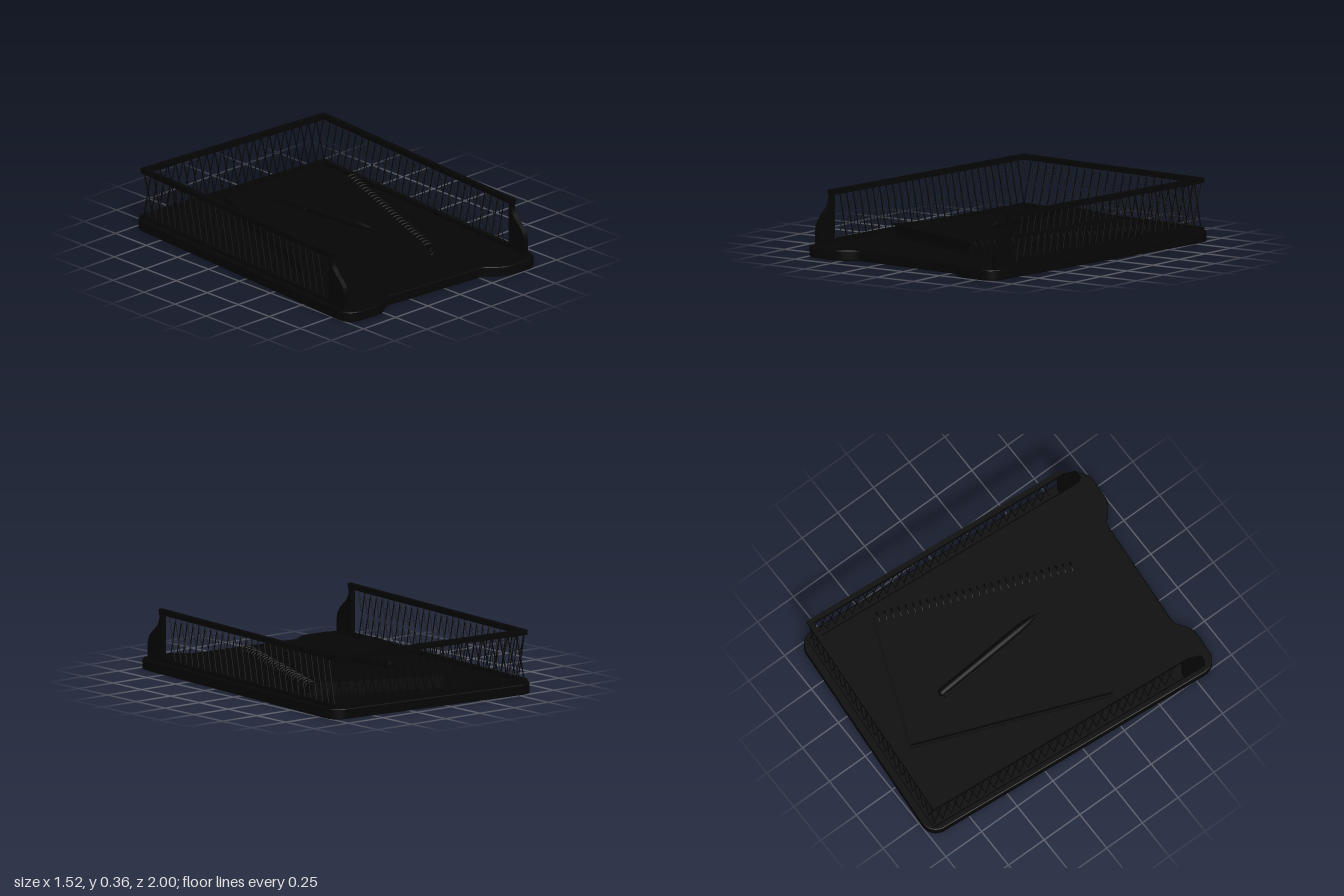
import * as THREE from 'three';
import { mergeGeometries } from 'three/addons/utils/BufferGeometryUtils.js';
import { RoundedBoxGeometry } from 'three/addons/geometries/RoundedBoxGeometry.js';

const black = new THREE.MeshStandardMaterial({ color: 0x050505 });

const W = 0.695, L = 0.953;          // base half width, half length
const WALL_X = 0.65, WALL_Z = 0.9;   // wall centre lines
const BASE_Y = 0.06, SILL_Y = 0.082, RAIL_Y = 0.33, TOP_Y = 0.36;
const WALL_T = 0.028;

function add(parent, name, geometry, x = 0, y = 0, z = 0) {
  const mesh = new THREE.Mesh(geometry, black);
  mesh.name = name;
  mesh.position.set(x, y, z);
  parent.add(mesh);
  return mesh;
}

// Rounded slab with a shallow, smooth cut-out between two front feet
function baseGeometry() {
  const r = 0.085, bevel = 0.006, w = W - bevel, l = L - bevel, cut = 0.875 - bevel;
  const s = new THREE.Shape();
  s.moveTo(-w + r, l);
  s.lineTo(w - r, l);
  s.absarc(w - r, l - r, r, Math.PI / 2, 0, true);
  s.lineTo(w, -l + r);
  s.absarc(w - r, -l + r, r, 0, -Math.PI / 2, true);
  s.lineTo(0.49, -l);
  s.bezierCurveTo(0.41, -l, 0.385, -cut, 0.33, -cut);
  s.lineTo(-0.33, -cut);
  s.bezierCurveTo(-0.385, -cut, -0.41, -l, -0.49, -l);
  s.lineTo(-w + r, -l);
  s.absarc(-w + r, -l + r, r, -Math.PI / 2, -Math.PI, true);
  s.lineTo(-w, l - r);
  s.absarc(-w + r, l - r, r, Math.PI, Math.PI / 2, true);
  const g = new THREE.ExtrudeGeometry(s, {
    depth: BASE_Y - 2 * bevel, bevelEnabled: true, bevelSize: bevel,
    bevelThickness: bevel, bevelSegments: 2, curveSegments: 10,
  });
  return g.rotateX(-Math.PI / 2).translate(0, bevel, 0);
}

// Crossed wires running along x from x0 to x1
function latticeGeometry(x0, x1) {
  const height = RAIL_Y - SILL_Y + 0.01, count = Math.round((x1 - x0) / 0.056);
  const pitch = (x1 - x0) / count;
  const tilt = Math.atan2(pitch, height), length = Math.hypot(pitch, height);
  const wires = [];
  for (let i = 0; i < count; i++) {
    for (const side of [-1, 1]) {
      const g = new THREE.CylinderGeometry(0.0032, 0.0032, length, 6);
      g.rotateZ(side * tilt);
      g.translate(x0 + (i + 0.5) * pitch, (RAIL_Y + SILL_Y) / 2, side * 0.002);
      wires.push(g);
    }
  }
  return mergeGeometries(wires);
}

// S-curved panel closing the front end of a side wall
function endPanelGeometry() {
  const s = new THREE.Shape();
  s.moveTo(0.745, BASE_Y - 0.01);
  s.lineTo(0.885, BASE_Y - 0.01);
  s.lineTo(0.885, 0.13);
  s.bezierCurveTo(0.885, 0.24, 0.775, 0.23, 0.77, 0.32);
  s.lineTo(0.78, TOP_Y);
  s.lineTo(0.745, TOP_Y);
  const g = new THREE.ExtrudeGeometry(s, { depth: WALL_T, bevelEnabled: false, curveSegments: 14 });
  return g.translate(0, 0, -WALL_T / 2).rotateY(-Math.PI / 2);
}

function buildTray() {
  const tray = new THREE.Group();
  tray.name = 'tray';
  add(tray, 'base', baseGeometry());

  // Sill, rail and wires of the back wall
  const span = 2 * WALL_X + WALL_T;
  const bars = [['Sill', BASE_Y - 0.005, SILL_Y], ['Rail', RAIL_Y, TOP_Y]];
  for (const [part, y0, y1] of bars)
    add(tray, 'back' + part, new THREE.BoxGeometry(span, y1 - y0, WALL_T), 0, (y0 + y1) / 2, -WALL_Z);
  add(tray, 'backLattice', latticeGeometry(-WALL_X, WALL_X), 0, 0, -WALL_Z);

  // Mirrored side walls
  const front = 0.775, len = front + WALL_Z;
  for (const [side, sx] of [['left', 1], ['right', -1]]) {
    for (const [part, y0, y1] of bars)
      add(tray, side + part, new THREE.BoxGeometry(WALL_T, y1 - y0, len),
        sx * WALL_X, (y0 + y1) / 2, (front - WALL_Z) / 2);
    const lattice = add(tray, side + 'Lattice', latticeGeometry(-0.69, WALL_Z), sx * WALL_X);
    lattice.rotation.y = Math.PI / 2;
    add(tray, side + 'EndPanel', endPanelGeometry(), sx * WALL_X);
  }
  return tray;
}

function buildNotebook() {
  const book = new THREE.Group();
  book.name = 'notebook';
  const w = 0.79, l = 1.18;
  add(book, 'backCover', new THREE.BoxGeometry(w, 0.01, l), 0, 0.064, 0);
  add(book, 'pages', new THREE.BoxGeometry(w - 0.02, 0.052, l - 0.02), 0, 0.095, 0);
  add(book, 'frontCover', new THREE.BoxGeometry(w, 0.01, l), 0, 0.126, 0);

  // Wire binding along the left edge
  const rings = [];
  for (let i = 0; i < 28; i++) {
    const ring = new THREE.TorusGeometry(0.038, 0.004, 6, 20);
    rings.push(ring.translate(w / 2 - 0.012, 0.1, -0.56 + i * 1.12 / 27));
  }
  add(book, 'binding', mergeGeometries(rings));
  book.position.set(0.017, 0, -0.09);
  book.rotation.y = -0.375;
  return book;
}

function buildPen() {
  const pen = new THREE.Group();
  pen.name = 'pen';
  // Radius and distance along the pen, from the rear cap to the tip
  const profile = [[0, -0.37], [0.018, -0.37], [0.023, -0.36], [0.024, -0.05],
    [0.025, 0.1], [0.024, 0.22], [0.02, 0.28], [0.011, 0.33], [0.005, 0.345], [0.003, 0.375], [0, 0.377]];
  const body = new THREE.LatheGeometry(profile.map(([r, d]) => new THREE.Vector2(r, d)), 24);
  add(pen, 'penBody', body.rotateX(Math.PI / 2));
  // Pocket clip lying to one side
  add(pen, 'penClip', new RoundedBoxGeometry(0.008, 0.016, 0.24, 2, 0.003), -0.031, 0, -0.24);
  add(pen, 'clipMount', new THREE.BoxGeometry(0.025, 0.016, 0.02), -0.021, 0, -0.35);
  pen.position.set(0.025, 0.163, -0.112);
  pen.rotation.y = 0.073;
  return pen;
}

export function createModel() {
  const model = new THREE.Group();
  model.name = 'deskTray';
  const tray = buildTray();
  tray.rotation.y = -0.08;
  model.add(tray, buildNotebook(), buildPen());
  return model;
}
